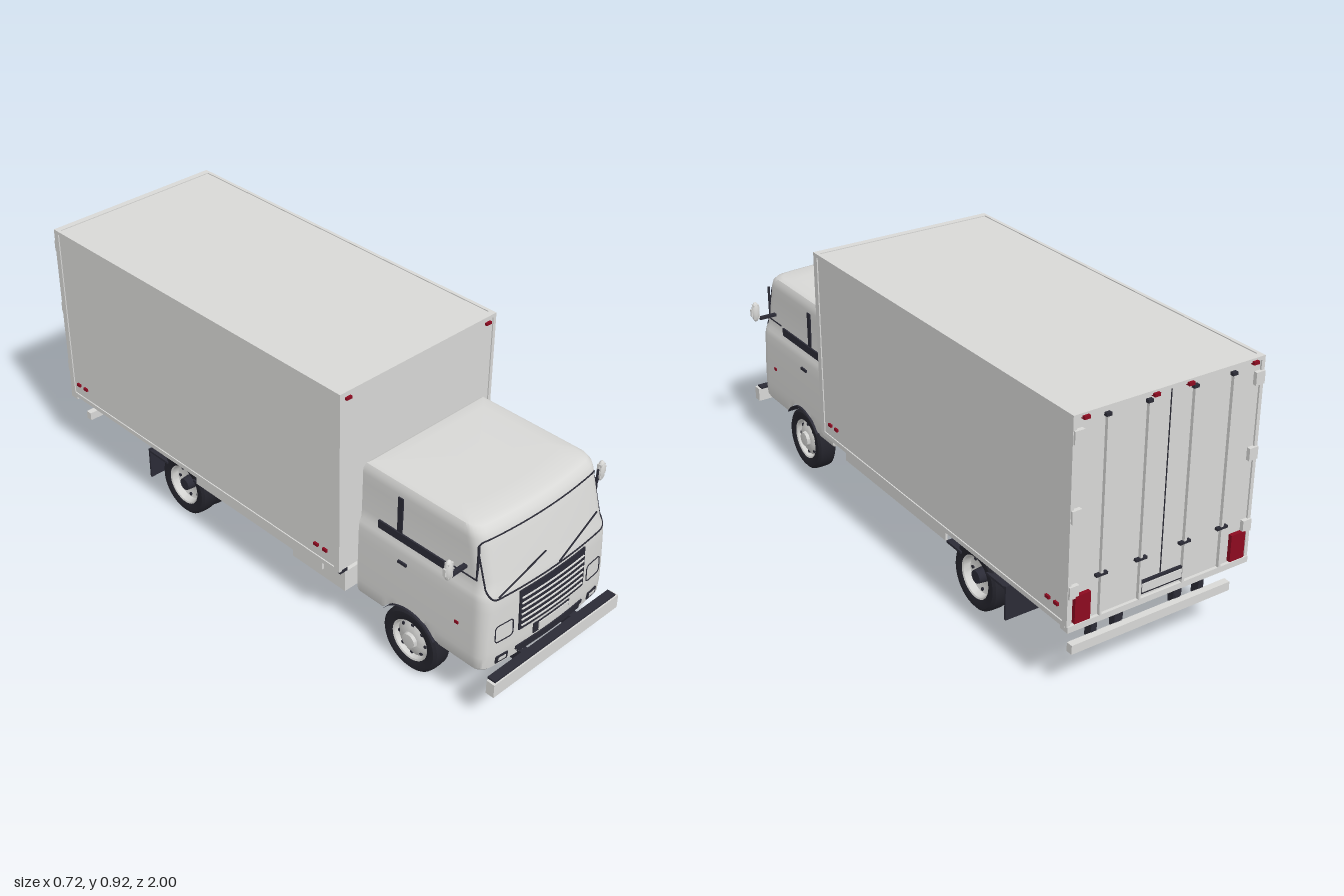
import * as THREE from 'three';
import { toCreasedNormals } from 'three/addons/utils/BufferGeometryUtils.js';

const mat = (name, color, side = THREE.FrontSide) => {
  const m = new THREE.MeshStandardMaterial({ color, side });
  m.name = name;
  return m;
};

// Cab cross-sections: height, half width, front z, back z, corner radius
const LEVELS = [
  [0.178, 0.272, 0.95, 0.43, 0.03], [0.19, 0.278, 0.96, 0.425, 0.035], [0.23, 0.28, 0.964, 0.425, 0.04],
  [0.25, 0.28, 0.964, 0.425, 0.04], [0.3, 0.28, 0.963, 0.425, 0.04], [0.4, 0.278, 0.959, 0.425, 0.04],
  [0.435, 0.277, 0.957, 0.425, 0.04], [0.456, 0.274, 0.953, 0.425, 0.04], [0.47, 0.267, 0.949, 0.425, 0.04],
  [0.5, 0.265, 0.942, 0.425, 0.04], [0.6, 0.263, 0.916, 0.425, 0.04], [0.632, 0.264, 0.907, 0.425, 0.04],
  [0.652, 0.262, 0.899, 0.427, 0.04], [0.666, 0.255, 0.885, 0.432, 0.04], [0.673, 0.242, 0.865, 0.442, 0.04],
  [0.675, 0.2, 0.8, 0.48, 0.04],
];
const BOW = 0.02, WHEEL_Y = 0.114, FRONT_Z = 0.645, REAR_Z = -0.445, ARCH = 0.13;

function levelAt(y) {
  let i = 0;
  while (i < LEVELS.length - 2 && LEVELS[i + 1][0] < y) i++;
  const a = LEVELS[i], b = LEVELS[i + 1];
  const t = THREE.MathUtils.clamp((y - a[0]) / (b[0] - a[0]), 0, 1);
  return a.map((v, k) => v + (b[k] - v) * t);
}
function sectionZ(x, [, hw, zf, , r]) {
  const over = Math.max(0, Math.abs(x) - (hw - r));
  return zf - BOW * (x / hw) ** 2 - (r - Math.sqrt(Math.max(0, r * r - over * over)));
}
const frontZ = (x, y) => sectionZ(x, levelAt(y));

// Wraps a flat geometry onto the curved cab front
function conform(geo) {
  const p = geo.attributes.position;
  for (let i = 0; i < p.count; i++) p.setZ(i, p.getZ(i) + frontZ(p.getX(i), p.getY(i)));
  geo.computeVertexNormals();
  return geo;
}

// Cab shell lofted through the levels, with the wheel arch cut by lifting vertices
function cabGeometry() {
  const pos = [], idx = [];
  let n = 0;
  LEVELS.forEach((L) => {
    const [y, hw, , zb, r] = L, ring = [];
    const corner = [0, 1, 2, 3, 4, 5, 6].map((k) => hw - r + r * Math.cos((k * Math.PI) / 12));
    corner.forEach((x) => ring.push([-x, sectionZ(x, L)]));
    for (let k = 1; k < 10; k++) { const x = (hw - r) * (k / 5 - 1); ring.push([x, sectionZ(x, L)]); }
    corner.reverse().forEach((x) => ring.push([x, sectionZ(x, L)]));
    const z0 = sectionZ(hw, L);
    for (let k = 1; k <= 48; k++) ring.push([hw, z0 + ((zb - z0) * k) / 48]);
    for (let k = 48; k >= 1; k--) ring.push([-hw, z0 + ((zb - z0) * k) / 48]);
    n = ring.length;
    ring.forEach(([x, z]) => {
      const d = z - FRONT_Z;
      const arch = Math.abs(d) < ARCH ? WHEEL_Y + Math.sqrt(ARCH * ARCH - d * d) : 0;
      pos.push(x, Math.max(y, arch), z);
    });
  });
  for (let j = 0; j < LEVELS.length - 1; j++) {
    for (let i = 0; i < n; i++) {
      const a = j * n + i, b = j * n + ((i + 1) % n);
      idx.push(a, b, b + n, a, b + n, a + n);
    }
  }
  const top = (LEVELS.length - 1) * n, c = pos.length / 3;
  pos.push(0, 0.676, 0.64);
  for (let i = 0; i < n; i++) idx.push(top + i, top + ((i + 1) % n), c);
  const g = new THREE.BufferGeometry();
  g.setAttribute('position', new THREE.Float32BufferAttribute(pos, 3));
  g.setIndex(idx);
  return toCreasedNormals(g, 0.6);
}

export function createModel() {
  const truck = new THREE.Group();
  truck.name = 'boxTruck';
  const body = mat('bodyGrey', 0xd8d8d6, THREE.DoubleSide), dark = mat('darkTrim', 0x2b2b36, THREE.DoubleSide);
  const red = mat('redLamp', 0x8c0a20), tyreMat = mat('tyreRubber', 0x24242c), rimMat = mat('rimGrey', 0xd2d2d0);
  const add = (name, geo, m, parent = truck) => {
    const mesh = new THREE.Mesh(geo, m);
    mesh.name = name;
    parent.add(mesh);
    return mesh;
  };
  const box = (name, m, x0, x1, y0, y1, z0, z1) => {
    const mesh = add(name, new THREE.BoxGeometry(Math.abs(x1 - x0), y1 - y0, Math.abs(z1 - z0)), m);
    mesh.position.set((x0 + x1) / 2, (y0 + y1) / 2, (z0 + z1) / 2);
    return mesh;
  };
  const pair = (name, m, x0, x1, ...rest) => [1, -1].forEach((s) => box(name, m, s * x0, s * x1, ...rest));
  const plate = (name, m, x0, x1, y0, y1, t) => {
    const g = new THREE.BoxGeometry(x1 - x0, y1 - y0, t, 10, 4, 1).translate((x0 + x1) / 2, (y0 + y1) / 2, 0);
    return add(name, toCreasedNormals(conform(g), 0.5), m);
  };
  const outline = (name, x0, x1, y0, y1, r, rad) => {
    const s = new THREE.Shape();
    s.moveTo(x0 + r, y0).lineTo(x1 - r, y0).quadraticCurveTo(x1, y0, x1, y0 + r).lineTo(x1, y1 - r);
    s.quadraticCurveTo(x1, y1, x1 - r, y1).lineTo(x0 + r, y1).quadraticCurveTo(x0, y1, x0, y1 - r);
    s.lineTo(x0, y0 + r).quadraticCurveTo(x0, y0, x0 + r, y0);
    const pts = s.getSpacedPoints(80).slice(0, -1).map((p) => new THREE.Vector3(p.x, p.y, frontZ(p.x, p.y)));
    add(name, new THREE.TubeGeometry(new THREE.CatmullRomCurve3(pts, true), 160, rad, 5, true), dark);
  };

  // Cab
  add('cabShell', cabGeometry(), body);
  box('cabFloor', dark, -0.19, 0.19, 0.185, 0.2, 0.435, 0.93);
  box('cabFloorFront', dark, -0.262, 0.262, 0.185, 0.2, 0.785, 0.92);
  box('cabFloorRear', dark, -0.268, 0.268, 0.185, 0.2, 0.432, 0.51);
  outline('windscreenSeal', -0.257, 0.257, 0.441, 0.629, 0.03, 0.003);
  for (const x of [-0.23, 0.02]) {
    const a = new THREE.Vector3(x, 0.45, frontZ(x, 0.45) + 0.005);
    const b = new THREE.Vector3(x + 0.2, 0.51, frontZ(x + 0.2, 0.51) + 0.005);
    add('wiper', new THREE.TubeGeometry(new THREE.LineCurve3(a, b), 1, 0.0028, 5), dark);
  }
  plate('grille', dark, -0.147, 0.147, 0.286, 0.431, 0.008);
  for (let i = 0; i < 6; i++) plate('grilleSlat', body, -0.14, 0.14, 0.3 + i * 0.0205, 0.3035 + i * 0.0205, 0.016);
  plate('plateFrame', dark, -0.082, 0.082, 0.236, 0.272, 0.006);
  plate('numberPlate', body, -0.06, 0.077, 0.24, 0.268, 0.012);
  plate('lowerIntake', dark, -0.152, 0.152, 0.212, 0.226, 0.008);
  plate('lowerIntakeBase', dark, -0.142, 0.142, 0.197, 0.212, 0.008);
  for (const s of [1, -1]) {
    const c = s * 0.203;
    outline('headlightRim', c - 0.035, c + 0.035, 0.282, 0.342, 0.014, 0.0022);
    plate('fogLampFrame', dark, c + s * 0.005 - 0.023, c + s * 0.005 + 0.023, 0.2, 0.227, 0.008);
    plate('fogLamp', body, c + s * 0.005 - 0.014, c + s * 0.005 + 0.014, 0.208, 0.22, 0.012);
  }
  pair('doorWaistStrip', dark, 0.26, 0.271, 0.471, 0.499, 0.5, 0.78);
  pair('windowPost', dark, 0.258, 0.268, 0.499, 0.625, 0.575, 0.595);
  pair('quarterWindowEdge', dark, 0.26, 0.2675, 0.5, 0.62, 0.885, 0.889);
  pair('windowSill', dark, 0.26, 0.2675, 0.498, 0.502, 0.8, 0.89);
  pair('doorHandle', dark, 0.276, 0.284, 0.4, 0.409, 0.595, 0.63);
  pair('sideRepeater', red, 0.276, 0.283, 0.314, 0.324, 0.828, 0.842);
  pair('cabRearStay', dark, 0.105, 0.13, 0.475, 0.495, 0.395, 0.43);

  // Mirrors
  pair('mirrorArm', dark, 0.258, 0.328, 0.524, 0.533, 0.835, 0.85);
  for (const s of [1, -1]) {
    const mirror = add('mirrorHousing', new THREE.SphereGeometry(1, 16, 12), body);
    mirror.scale.set(0.015, 0.037, 0.012);
    mirror.position.set(s * 0.341, 0.556, 0.845);
  }
  pair('mirrorBody', body, 0.329, 0.35, 0.53, 0.583, 0.837, 0.853);
  pair('mirrorKnob', body, 0.35, 0.359, 0.542, 0.568, 0.84, 0.85);

  // Front bumper
  box('frontBumper', body, -0.289, 0.289, 0.136, 0.185, 0.97, 1);
  box('bumperTopStrip', dark, -0.28, 0.28, 0.185, 0.191, 0.965, 0.995);
  pair('bumperBracket', dark, 0.1, 0.13, 0.145, 0.19, 0.86, 0.975);

  // Cargo box with edge frames
  box('cargoBox', body, -0.33, 0.33, 0.268, 0.921, -0.985, 0.395);
  for (const z of [0.388, -0.98]) {
    pair('cornerPost', body, 0.322, 0.334, 0.268, 0.924, z - 0.011, z + 0.011);
    box('roofEdge', body, -0.334, 0.334, 0.912, 0.924, z - 0.011, z + 0.011);
  }
  pair('roofRail', body, 0.322, 0.334, 0.912, 0.924, -0.98, 0.39);
  pair('lowerRail', body, 0.322, 0.334, 0.262, 0.278, -0.98, 0.39);
  pair('boxSill', dark, 0.29, 0.32, 0.248, 0.268, -0.98, 0.39);
  box('rearSill', body, -0.333, 0.333, 0.25, 0.27, -0.995, -0.96);
  for (const z of [0.335, 0.295, -0.9, -0.94]) pair('sideMarker', red, 0.33, 0.337, 0.316, 0.326, z - 0.009, z + 0.009);
  pair('frontMarker', red, 0.288, 0.31, 0.895, 0.904, 0.395, 0.403);

  // Rear doors
  for (const x of [0.08, 0.22]) {
    pair('lockRod', body, x - 0.004, x + 0.004, 0.27, 0.9, -0.996, -0.985);
    pair('rodTopKeeper', dark, x - 0.009, x + 0.009, 0.893, 0.903, -0.997, -0.985);
    pair('rodHandle', dark, x - 0.02, x + 0.02, 0.4, 0.408, -0.997, -0.985);
  }
  box('doorGap', dark, -0.0015, 0.0015, 0.275, 0.91, -0.987, -0.984);
  for (const y of [0.36, 0.6, 0.84]) pair('doorHinge', body, 0.3, 0.332, y, y + 0.04, -0.998, -0.985);
  pair('tailLamp', red, 0.258, 0.312, 0.275, 0.365, -0.998, -0.985);
  for (const x of [0.06, 0.295]) pair('rearMarker', red, x - 0.01, x + 0.01, 0.907, 0.917, -1, -0.985);
  box('rearPlateFrame', dark, -0.08, 0.08, 0.283, 0.325, -0.994, -0.985);
  box('rearPlate', body, -0.073, 0.073, 0.29, 0.318, -0.997, -0.985);

  // Chassis
  pair('chassisRail', dark, 0.095, 0.125, 0.18, 0.24, -0.945, 0.44);
  for (let i = 0; i < 9; i++) box('crossBearer', dark, -0.31, 0.31, 0.235, 0.267, -0.94 + i * 0.16, -0.915 + i * 0.16);
  for (const z of [-0.75, -0.2, 0.15]) box('crossMember', dark, -0.1, 0.1, 0.19, 0.225, z, z + 0.03);
  pair('sideGuard', body, 0.295, 0.303, 0.198, 0.238, -0.33, 0.29);
  box('toolBox', body, -0.29, -0.16, 0.157, 0.235, 0.14, 0.38);
  box('rearBumper', body, -0.295, 0.295, 0.148, 0.178, -0.968, -0.945);
  for (const x of [0.1, 0.19]) pair('rearBumperBracket', dark, x, x + 0.02, 0.155, 0.245, -0.946, -0.915);

  // Wheels and axles
  const lathe = (pts) => toCreasedNormals(new THREE.LatheGeometry(pts.map(([r, y]) => new THREE.Vector2(r, y)), 40), 0.5);
  const tyreGeo = lathe([[0.073, -0.03], [0.085, -0.035], [0.102, -0.034], [0.111, -0.027], [0.113, -0.012],
    [0.113, 0.012], [0.111, 0.027], [0.102, 0.034], [0.085, 0.035], [0.073, 0.03]]);
  const frontRim = lathe([[0.074, -0.03], [0.068, -0.01], [0, -0.01], [0, -0.01], [0.066, 0.0], [0.07, 0.02], [0.076, 0.032]].slice(0, 3));
  const frontDisc = lathe([[0.076, 0.031], [0.068, 0.027], [0.064, 0.012], [0.045, 0.024], [0.028, 0.027], [0.025, 0.038], [0, 0.04]].reverse().map(([r, y]) => [r, y]).reverse());
  const rearDisc = lathe([[0.076, 0.031], [0.068, 0.027], [0.063, 0.004], [0.04, -0.004], [0.028, -0.004], [0, -0.004]]);
  const wheel = (name, s, x, z, front) => {
    const g = new THREE.Group();
    g.name = name;
    g.position.set(s * x, WHEEL_Y, z);
    g.rotation.z = (-s * Math.PI) / 2;
    add('tyre', tyreGeo, tyreMat, g);
    add('rimBack', frontRim, body, g);
    add('rimDisc', front ? frontDisc : rearDisc, rimMat, g);
    for (let i = 0; i < 8; i++) {
      const a = (i / 8) * Math.PI * 2;
      const hole = add('rimHole', new THREE.CylinderGeometry(0.006, 0.006, 0.006, 8), dark, g);
      hole.position.set(Math.cos(a) * 0.054, front ? 0.018 : 0.001, Math.sin(a) * 0.054);
    }
    if (!front) add('hub', new THREE.CylinderGeometry(0.022, 0.026, 0.04, 16).translate(0, 0.008, 0), dark, g);
    truck.add(g);
  };
  rimMat.side = THREE.DoubleSide;
  tyreMat.side = THREE.DoubleSide;
  for (const s of [1, -1]) {
    wheel('frontWheel', s, 0.24, FRONT_Z, true);
    wheel('rearOuterWheel', s, 0.24, REAR_Z, false);
    wheel('rearInnerWheel', s, 0.168, REAR_Z, false);
    // Arch liner over the front wheel
    const liner = add('wheelArchLiner', new THREE.CylinderGeometry(0.126, 0.126, 0.11, 24, 1, true, -1.0, 2.0), dark);
    liner.rotation.set(-Math.PI / 2, 0, Math.PI / 2, 'YXZ');
    liner.geometry.rotateX(-Math.PI / 2).rotateY(Math.PI / 2);
    liner.rotation.set(0, 0, 0);
    liner.position.set(s * 0.229, WHEEL_Y, FRONT_Z);
  }
  box('frontAxle', dark, -0.2, 0.2, 0.1, 0.132, FRONT_Z - 0.02, FRONT_Z + 0.02);
  const axle = add('rearAxle', new THREE.CylinderGeometry(0.024, 0.024, 0.3, 16).rotateZ(Math.PI / 2), dark);
  axle.position.set(0, WHEEL_Y, REAR_Z);
  const diff = add('differential', new THREE.SphereGeometry(0.05, 16, 12), dark);
  diff.position.copy(axle.position);
  for (const z of [FRONT_Z, REAR_Z]) pair('leafSpring', dark, 0.1, 0.122, 0.135, 0.15, z - 0.15, z + 0.15);
  for (const z of [FRONT_Z, REAR_Z]) pair('springMount', dark, 0.1, 0.122, 0.1, 0.19, z - 0.025, z + 0.025);
  pair('mudguardFront', dark, 0.135, 0.28, 0.168, 0.176, -0.38, -0.3);
  pair('mudguardRear', dark, 0.135, 0.28, 0.168, 0.176, -0.62, -0.52);
  pair('mudFlap', dark, 0.135, 0.28, 0.06, 0.18, -0.624, -0.617);
  return truck;
}
